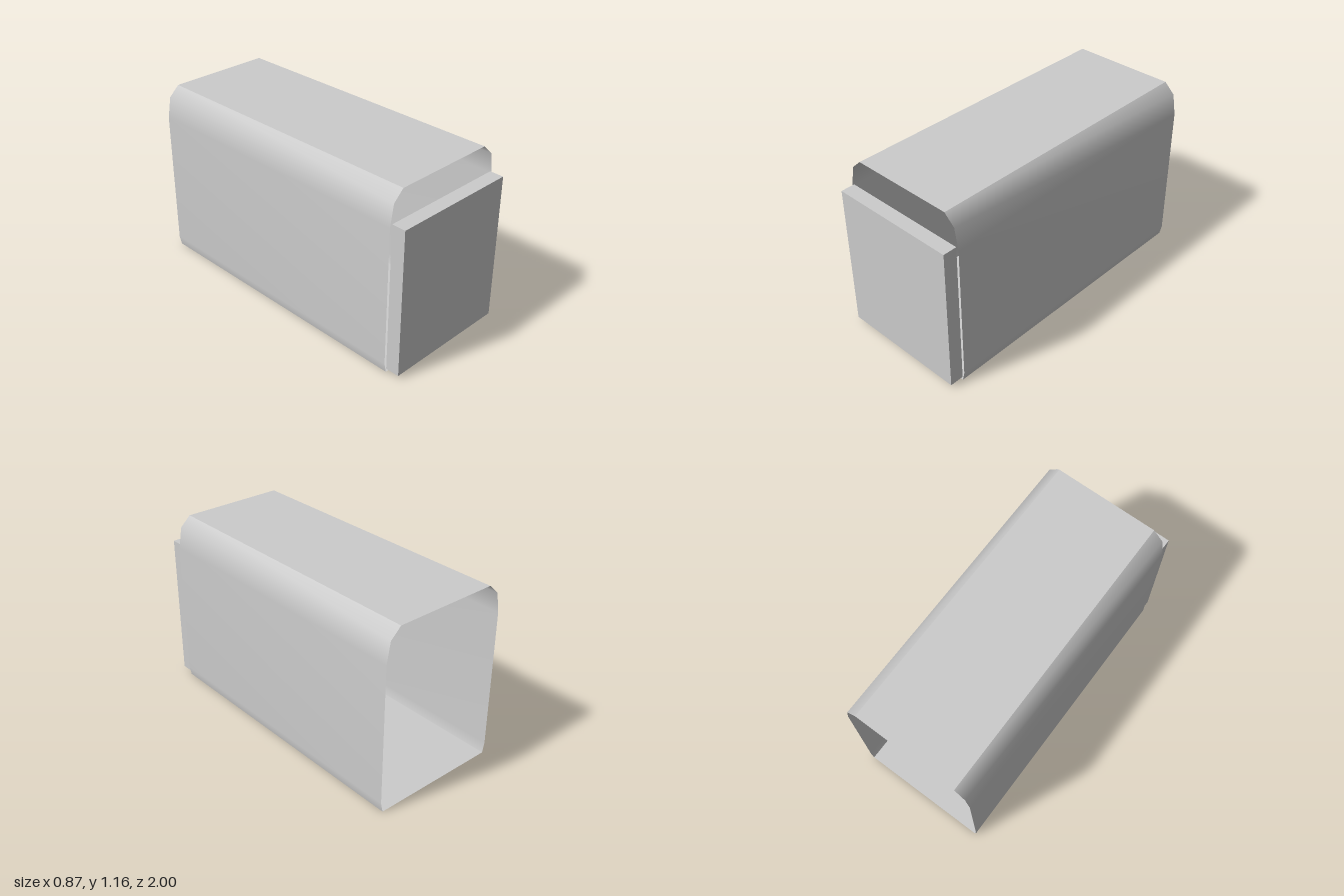
import * as THREE from 'three';

// Sweeps an open cross-section along z; vertices are shared, so normals blend along the strip
function sweep(points, z0, z1) {
  const pos = [], index = [];
  points.forEach(([x, y], i) => {
    pos.push(x, y, z0, x, y, z1);
    if (i) {
      const a = 2 * (i - 1);
      index.push(a, a + 1, a + 2, a + 1, a + 3, a + 2);
    }
  });
  const g = new THREE.BufferGeometry();
  g.setAttribute('position', new THREE.Float32BufferAttribute(pos, 3));
  g.setIndex(index);
  g.computeVertexNormals();
  return g;
}

export function createModel() {
  const group = new THREE.Group();
  const grey = new THREE.MeshStandardMaterial({ color: 0xcccccc, side: THREE.DoubleSide });
  grey.name = 'light grey';

  const add = (name, geometry) => {
    const mesh = new THREE.Mesh(geometry, grey);
    mesh.name = name;
    group.add(mesh);
    return mesh;
  };

  // Thin open sleeve: rounded side walls, flat roof and floor
  const back = -1, front = 0.91;
  const wall = [[0.42, 0], [0.434, 0.065], [0.434, 0.96], [0.41, 1.095], [0.341, 1.16]];
  const mirrored = wall.map(([x, y]) => [-x, y]).reverse();
  add('leftWall', sweep(wall, front, back).scale(1, 1, 1));
  add('rightWall', sweep(mirrored, front, back));
  add('roof', sweep([[0.341, 1.16], [-0.341, 1.16]], front, back));
  add('floor', sweep([[-0.42, 0], [0.42, 0]], front, back));

  // Front panel
  add('frontPanel', new THREE.BoxGeometry(0.836, 0.953, 0.09)).position.set(0, 0.4985, 0.955);

  return group;
}
